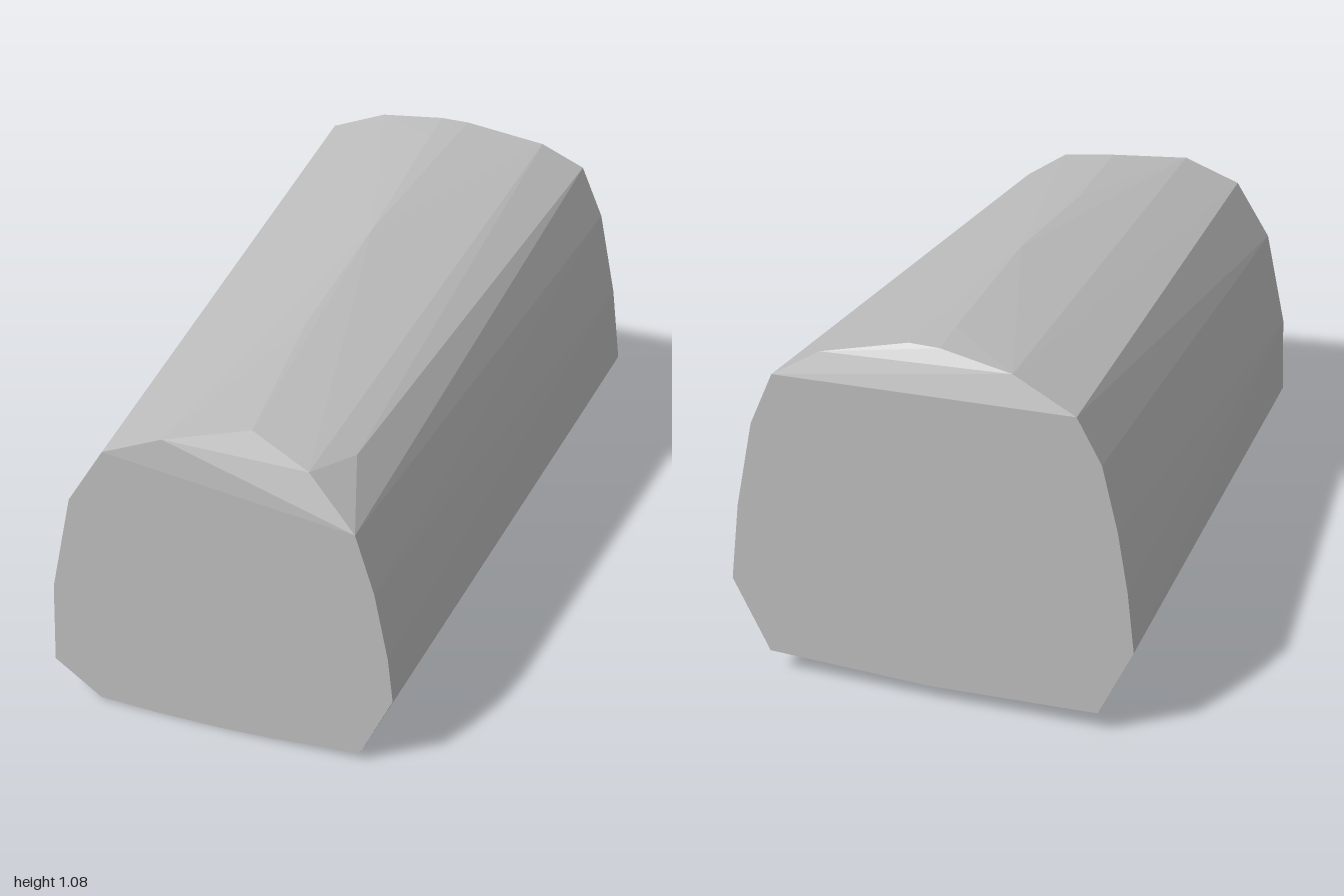
import * as THREE from 'three';
import { ConvexGeometry } from 'three/addons/geometries/ConvexGeometry.js';

// Outline of the small front end, anticlockwise from the lower left
const FRONT = [
  [-0.37, 0.01], [-0.2, 0.002], [0, 0], [0.15, 0.005], [0.42, 0.025],
  [0.515, 0.225], [0.5, 0.36], [0.46, 0.56], [0.405, 0.735],
  [-0.325, 0.835], [-0.435, 0.66], [-0.5, 0.36], [-0.51, 0.11],
];

// Outline of the larger back end
const BACK = [
  [-0.49, 0.07], [0, 0.053], [0.485, 0.07],
  [0.59, 0.29], [0.56, 0.53], [0.505, 0.795], [0.435, 0.955],
  [-0.425, 0.97], [-0.495, 0.84], [-0.54, 0.65], [-0.57, 0.47], [-0.59, 0.285],
];

// Crown of the arched top: bevelled front rim, gentle rise, bevelled back rim
const CROWN = [
  [-0.15, 0.905, 0.99], [0.26, 0.875, 0.96], [0.07, 0.925, 0.89], [0.335, 0.855, 0.8],
  [0.02, 0.985, 0.38], [0.02, 1.04, -0.16], [-0.02, 1.077, -0.8],
  [-0.24, 1.05, -0.97], [-0.03, 1.08, -0.945], [0.06, 1.08, -0.94], [0.305, 1.03, -0.97],
];

export function createModel() {
  const grey = new THREE.MeshStandardMaterial({ color: 0xbcbcbc, flatShading: true });
  grey.name = 'plain grey';

  // Faceted convex block stretched between the two ends
  const points = [
    ...FRONT.map(([x, y]) => new THREE.Vector3(x, y, 1)),
    ...BACK.map(([x, y]) => new THREE.Vector3(x, y, -1)),
    ...CROWN.map((p) => new THREE.Vector3(...p)),
  ];
  const block = new THREE.Mesh(new ConvexGeometry(points), grey);
  block.name = 'archedBlock';

  const group = new THREE.Group();
  group.name = 'taperedArchedBlock';
  group.add(block);
  return group;
}
